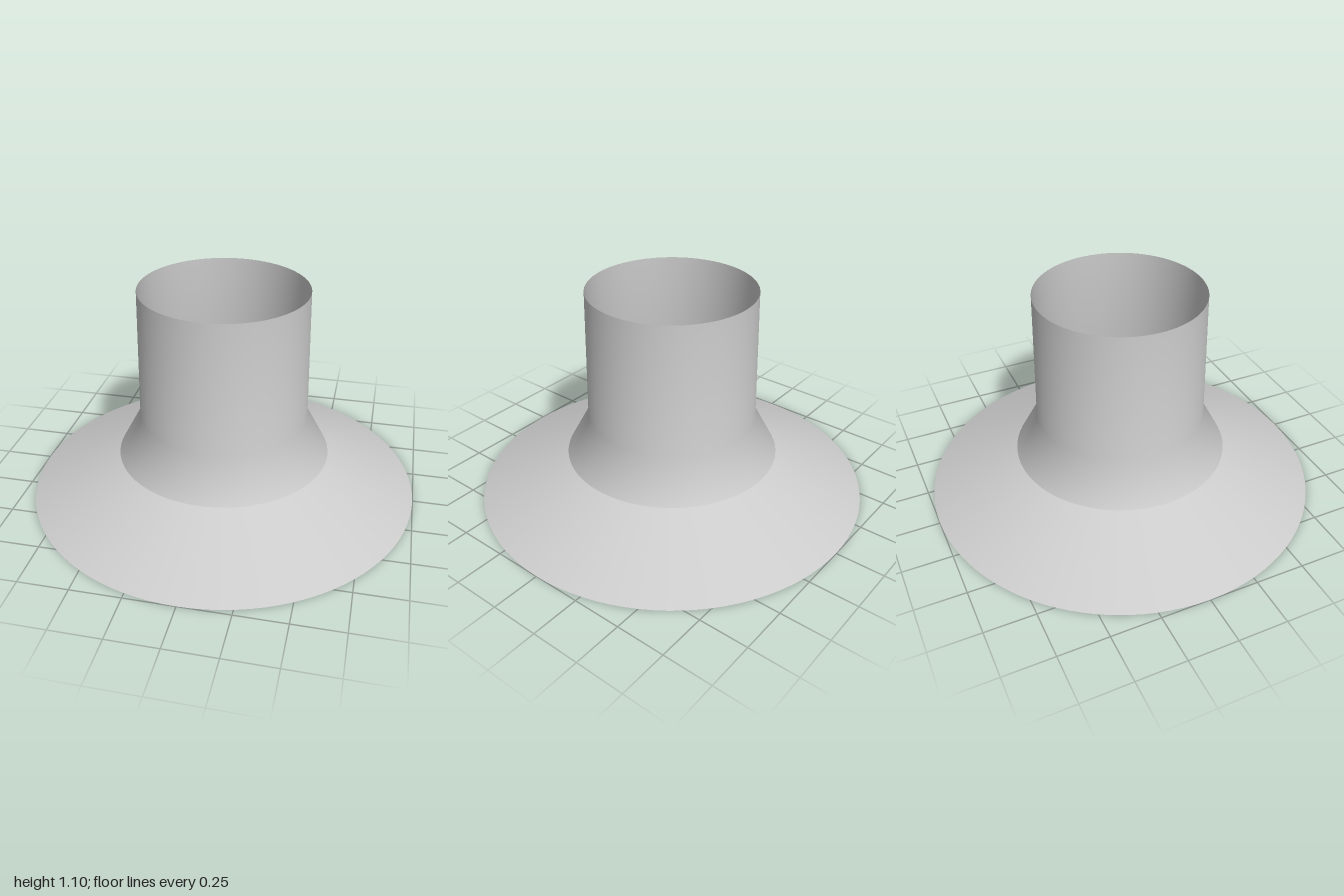
import * as THREE from 'three';

const SEGMENTS = 96;

// Open, thin-walled shell turned from a profile of [radius, height] points, bottom to top
function turnedShell(name, profile, material) {
  const points = profile.map(([r, y]) => new THREE.Vector2(r, y));
  const mesh = new THREE.Mesh(new THREE.LatheGeometry(points, SEGMENTS), material);
  mesh.name = name;
  return mesh;
}

export function createModel() {
  const group = new THREE.Group();
  group.name = 'flaredCollar';
  const material = new THREE.MeshStandardMaterial({ color: 0xcccccc, side: THREE.DoubleSide });

  // Wide sloping skirt, with a sharp crease where it meets the neck
  group.add(turnedShell('skirt', [[1, 0], [0.545, 0.21]], material));

  // Neck: short flare blending smoothly into a slightly tapered tube, open at the top
  group.add(turnedShell('neck', [[0.545, 0.21], [0.43, 0.425], [0.42, 1.1]], material));

  return group;
}
